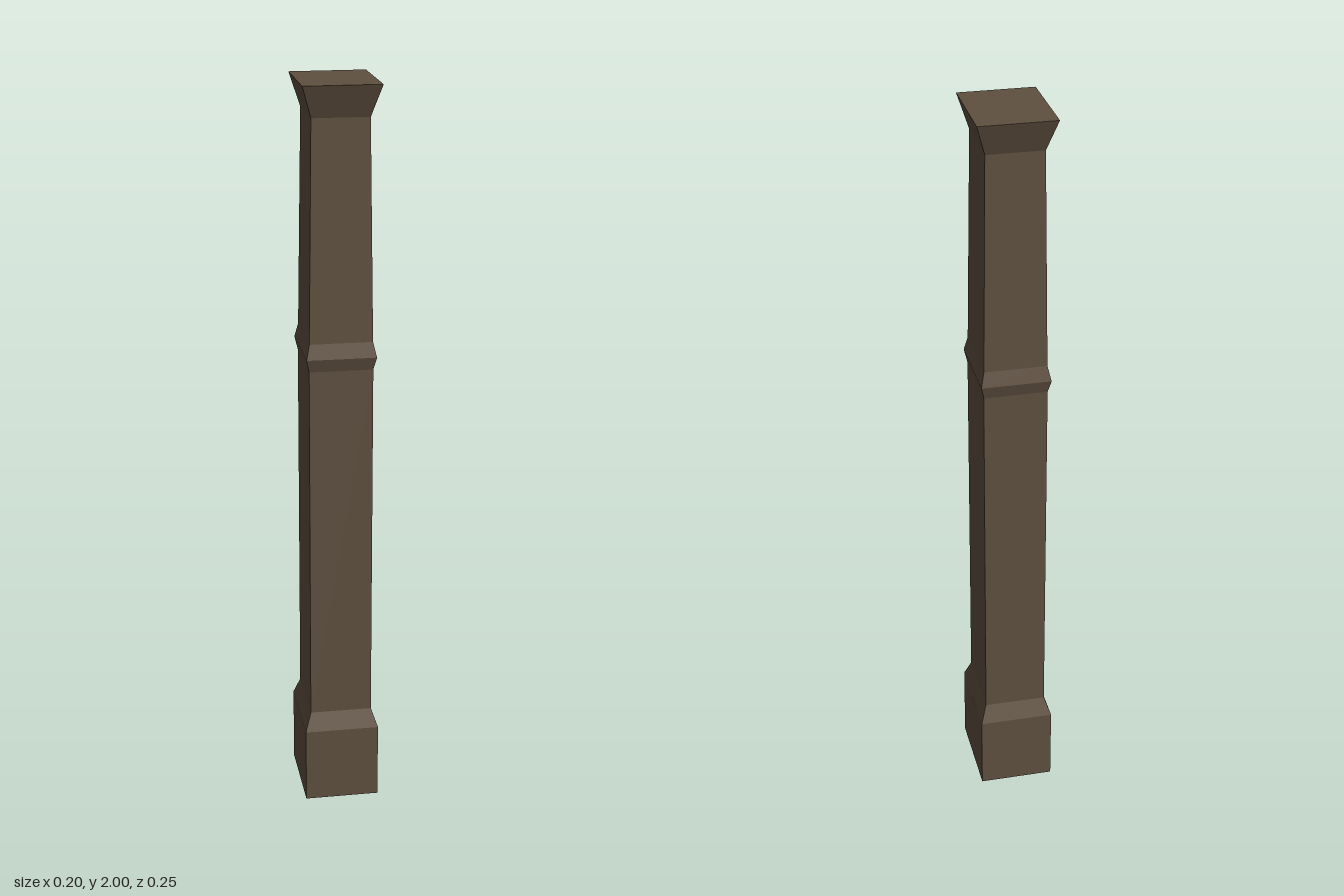
import * as THREE from 'three';

const DEPTH_RATIO = 1.24; // post is deeper than it is wide

// Open four-sided tapering section between two heights, given half widths in x
function section(y0, half0, y1, half1) {
  const s = Math.SQRT2;
  let g = new THREE.CylinderGeometry(half1 * s, half0 * s, y1 - y0, 4, 1, true);
  g.rotateY(Math.PI / 4);
  g.scale(1, 1, DEPTH_RATIO);
  g.translate(0, (y0 + y1) / 2, 0);
  g = g.toNonIndexed();
  g.computeVertexNormals();
  return g;
}

export function createModel() {
  const group = new THREE.Group();
  group.name = 'post';

  const wood = new THREE.MeshStandardMaterial({
    color: 0x5f5040, flatShading: true, side: THREE.DoubleSide,
  });
  wood.name = 'dark brown wood';

  function add(name, geometry) {
    const mesh = new THREE.Mesh(geometry, wood);
    mesh.name = name;
    group.add(mesh);
  }

  // Stacked sections from the ground up: name, bottom y, half width, top y, half width
  const parts = [
    ['base', 0, 0.102, 0.21, 0.102],
    ['baseChamfer', 0.21, 0.102, 0.26, 0.085],
    ['lowerShaft', 0.26, 0.085, 1.255, 0.085],
    ['collarUnderside', 1.255, 0.085, 1.29, 0.093],
    ['collarTop', 1.29, 0.093, 1.33, 0.084],
    ['upperShaft', 1.33, 0.084, 1.915, 0.076],
    ['capital', 1.915, 0.076, 2, 0.102],
  ];
  for (const [name, y0, h0, y1, h1] of parts) add(name, section(y0, h0, y1, h1));

  // Flat lid on the capital; the foot stays open and hollow
  const lid = new THREE.PlaneGeometry(0.204, 0.204 * DEPTH_RATIO);
  lid.rotateX(-Math.PI / 2);
  lid.translate(0, 2, 0);
  add('topFace', lid);

  return group;
}
